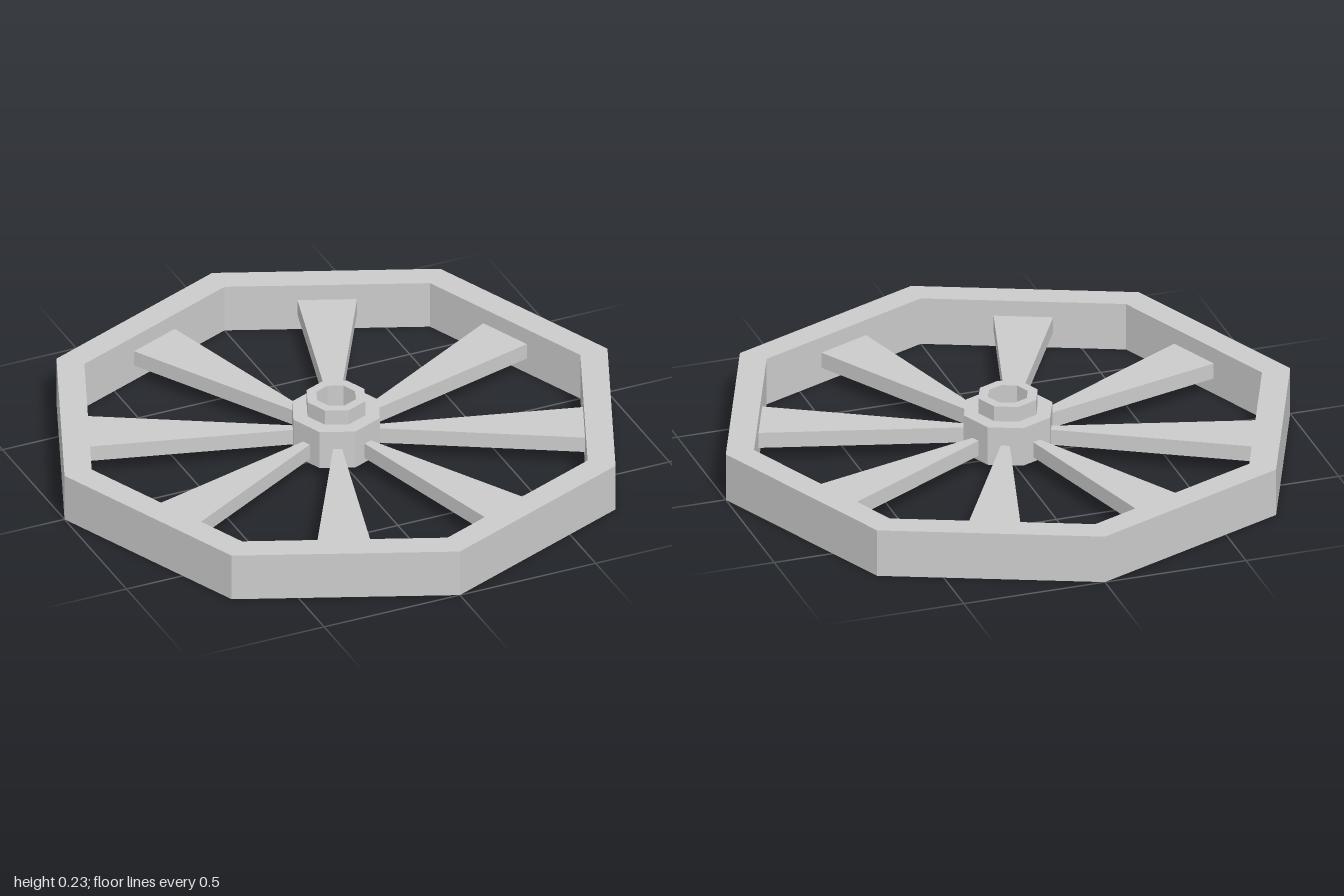
import * as THREE from 'three';

const SIDES = 8;

// Octagonal ring turned from a profile of [radius, height] pairs
function turned(name, profile, material) {
  const points = profile.map(([r, y]) => new THREE.Vector2(r, y));
  const mesh = new THREE.Mesh(new THREE.LatheGeometry(points, SIDES), material);
  mesh.name = name;
  return mesh;
}

export function createModel() {
  const group = new THREE.Group();
  group.name = 'wheel';
  const solid = new THREE.MeshStandardMaterial({ color: 0xcccccc, flatShading: true });
  const shell = solid.clone();
  shell.side = THREE.DoubleSide;

  // Rim: closed rectangular section
  group.add(turned('rim', [[1, 0], [1, 0.17], [0.9, 0.17], [0.9, 0], [1, 0]], solid));

  // Hub: outer sleeve, shoulder, raised collar and through bore, open below
  group.add(turned('hub', [
    [0.157, 0.04], [0.157, 0.18], [0.105, 0.18],
    [0.105, 0.235], [0.07, 0.235], [0.07, 0.04],
  ], shell));

  // Spokes: flat wedges widening from the hub to the middle of each rim side
  const inner = 0.12;
  const outer = 0.9 * Math.cos(Math.PI / SIDES);
  const wedge = new THREE.Shape([
    new THREE.Vector2(inner, -0.012),
    new THREE.Vector2(outer, -0.1),
    new THREE.Vector2(outer, 0.1),
    new THREE.Vector2(inner, 0.012),
  ]);
  const spokeGeometry = new THREE.ExtrudeGeometry(wedge, { depth: 0.056, bevelEnabled: false });
  spokeGeometry.rotateX(-Math.PI / 2).translate(0, 0.057, 0);
  for (let i = 0; i < SIDES; i++) {
    const spoke = new THREE.Mesh(spokeGeometry, solid);
    spoke.name = `spoke${i + 1}`;
    spoke.rotation.y = ((i + 0.5) / SIDES) * Math.PI * 2;
    group.add(spoke);
  }
  return group;
}
